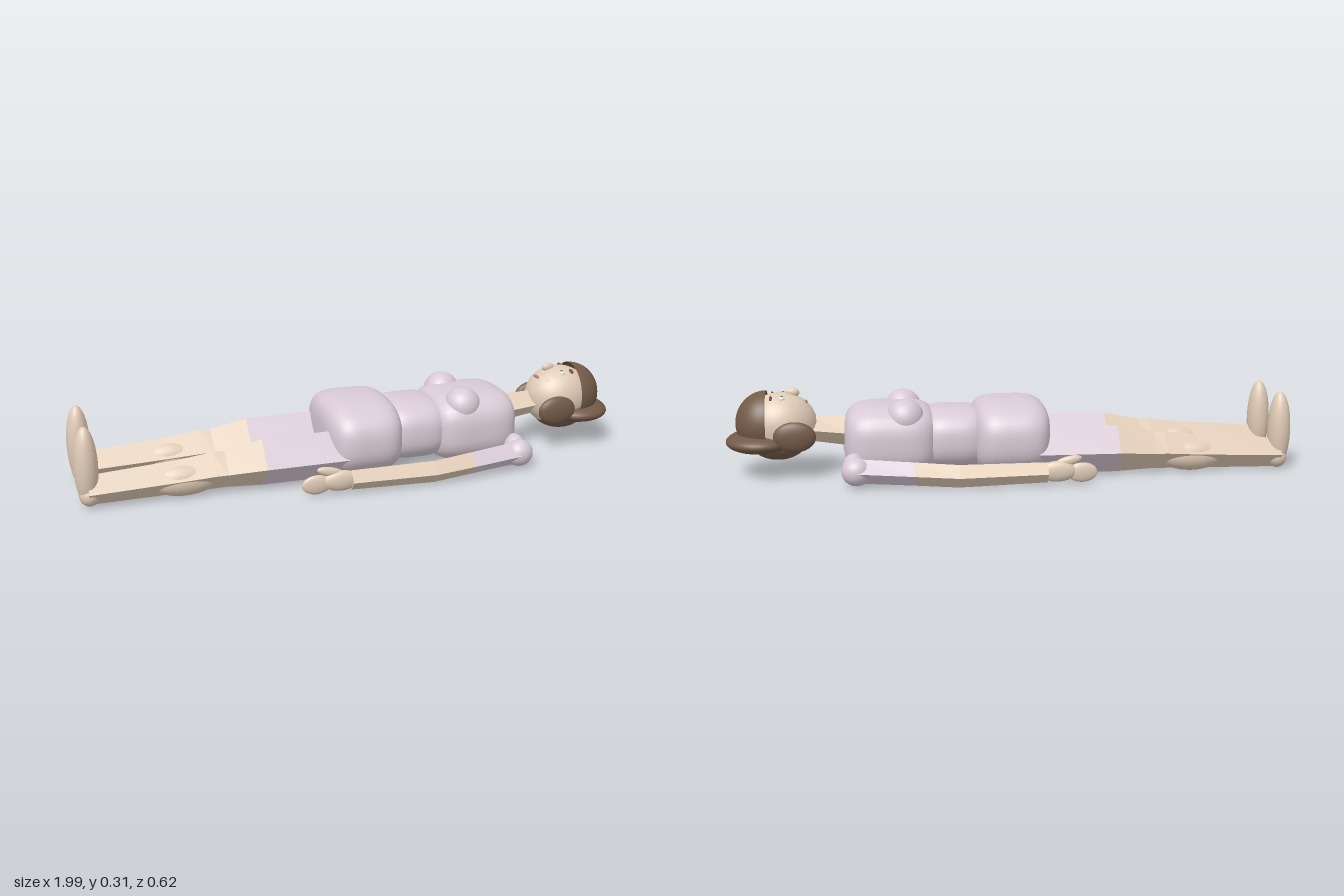
import * as THREE from 'three';

const mat = (color, flatShading = false) => new THREE.MeshStandardMaterial({ color, flatShading });

export function createModel() {
  const model = new THREE.Group();
  const skin = mat(0xe0cbb6), cloth = mat(0xd9cad5), hair = mat(0x735a48);
  const skinFlat = mat(0xe0cbb6, true), clothFlat = mat(0xd9cad5, true);
  const white = mat(0xe8e8e4), iris = mat(0x5f7a6a), lip = mat(0xb08070);

  const add = (name, geometry, material, parent = model) => {
    const mesh = new THREE.Mesh(geometry, material);
    mesh.name = name;
    parent.add(mesh);
    return mesh;
  };

  // Ellipsoid from centre and radii
  const ball = (name, c, r, material, parent, seg = 24) => {
    const mesh = add(name, new THREE.SphereGeometry(1, seg, Math.ceil(seg * 0.7)), material, parent);
    mesh.position.set(...c);
    mesh.scale.set(...r);
    return mesh;
  };

  // Cushion: a sphere pushed out toward a box, squarer along x than around it
  const cushion = (name, c, r, material, nAxis = 4, nRound = 2.7) => {
    const g = new THREE.SphereGeometry(1, 48, 36);
    g.rotateZ(-Math.PI / 2);
    const p = g.attributes.position;
    for (let i = 0; i < p.count; i++) {
      const x = p.getX(i), y = p.getY(i), z = p.getZ(i);
      const round = (Math.abs(y) ** nRound + Math.abs(z) ** nRound) ** (1 / nRound);
      const k = (Math.abs(x) ** nAxis + round ** nAxis) ** (-1 / nAxis);
      p.setXYZ(i, c[0] + x * k * r[0], c[1] + y * k * r[1], c[2] + z * k * r[2]);
    }
    g.computeVertexNormals();
    return add(name, g, material);
  };

  // Four-sided limb with its edges up, down and sideways; rows: [x, y, z, ry, rz], x falling
  const limb = (name, rows, material, parent) => {
    const pos = [], idx = [], n = rows.length;
    for (const [x, y, z, ry, rz] of rows)
      pos.push(x, y + ry, z, x, y, z + rz, x, y - ry, z, x, y, z - rz);
    for (let i = 0; i < n - 1; i++)
      for (let j = 0; j < 4; j++) {
        const a = i * 4 + j, b = i * 4 + (j + 1) % 4;
        idx.push(a, a + 4, b, b, a + 4, b + 4);
      }
    const e = (n - 1) * 4;
    idx.push(0, 1, 2, 0, 2, 3, e, e + 2, e + 1, e, e + 3, e + 2);
    const g = new THREE.BufferGeometry();
    g.setAttribute('position', new THREE.Float32BufferAttribute(pos, 3));
    g.setIndex(idx);
    g.computeVertexNormals();
    return add(name, g, material, parent);
  };

  // Torso
  cushion('hips', [0, 0.135, 0], [0.136, 0.13, 0.211], cloth);
  cushion('waist', [0.2, 0.132, 0], [0.13, 0.108, 0.153], cloth, 3.2);
  cushion('chest', [0.42, 0.13, 0], [0.162, 0.125, 0.176], cloth, 4, 3);
  limb('neck', [[0.71, 0.168, 0, 0.045, 0.05], [0.55, 0.152, 0, 0.053, 0.052]], skinFlat);

  for (const s of [1, -1]) {
    const side = s > 0 ? 'left' : 'right';
    ball(side + 'Breast', [0.372, 0.215, s * 0.1], [0.066, 0.066, 0.066], cloth, model);

    // Arm and hand
    const arm = new THREE.Group();
    arm.name = side + 'Arm';
    model.add(arm);
    ball('shoulder', [0.55, 0.06, s * 0.17], [0.04, 0.05, 0.05], cloth, arm);
    ball('shoulderCap', [0.542, 0.06, s * 0.228], [0.05, 0.048, 0.046], cloth, arm);
    limb('sleeve', [[0.55, 0.062, s * 0.226, 0.042, 0.046], [0.35, 0.054, s * 0.257, 0.04, 0.041]], clothFlat, arm);
    limb('forearm', [[0.35, 0.054, s * 0.257, 0.04, 0.041], [0.2, 0.046, s * 0.275, 0.039, 0.036],
      [-0.1, 0.05, s * 0.272, 0.035, 0.034]], skinFlat, arm);
    ball('palm', [-0.135, 0.052, s * 0.27], [0.065, 0.036, 0.02], skin, arm);
    ball('fingers', [-0.22, 0.046, s * 0.268], [0.052, 0.034, 0.013], skin, arm);
    ball('thumb', [-0.17, 0.085, s * 0.266], [0.05, 0.017, 0.012], skin, arm).rotation.z = -0.25;

    // Leg and upright foot
    const leg = new THREE.Group();
    leg.name = side + 'Leg';
    model.add(leg);
    const z = s * 0.116;
    limb('thigh', [[0, 0.092, z, 0.085, 0.085], [-0.37, 0.09, z, 0.083, 0.083]], clothFlat, leg);
    limb('lowerLeg', [[-0.37, 0.09, z, 0.083, 0.083], [-0.5, 0.081, z, 0.066, 0.065],
      [-0.54, 0.08, z, 0.066, 0.062], [-0.66, 0.072, z, 0.06, 0.056], [-0.96, 0.06, z, 0.052, 0.052]], skinFlat, leg);
    ball('calf', [-0.64, 0.062, z], [0.12, 0.057, 0.053], skin, leg);
    ball('foot', [-0.96, 0.143, z], [0.04, 0.138, 0.045], skin, leg);
    ball('heel', [-0.955, 0.045, z], [0.035, 0.039, 0.043], skin, leg);
  }

  // Head and face
  const head = new THREE.Group();
  head.name = 'head';
  model.add(head);
  ball('skull', [0.8, 0.183, 0], [0.125, 0.113, 0.106], skin, head, 32);
  ball('nose', [0.757, 0.294, 0], [0.024, 0.017, 0.012], skin, head, 12);
  ball('mouth', [0.712, 0.261, 0], [0.006, 0.006, 0.02], lip, head, 12);
  for (const s of [1, -1]) {
    ball('eye', [0.792, 0.281, s * 0.045], [0.011, 0.008, 0.015], white, head, 12);
    ball('iris', [0.792, 0.287, s * 0.045], [0.006, 0.005, 0.006], iris, head, 12);
    ball('brow', [0.83, 0.283, s * 0.045], [0.005, 0.008, 0.018], hair, head, 12);
    ball('cheek', [0.74, 0.255, s * 0.045], [0.014, 0.01, 0.014], skin, head, 12);
    ball('sideHair', [0.75, 0.157, s * 0.104], [0.073, 0.053, 0.023], hair, head);
  }

  // Hair: crown cap facing +x, back of the head and a wide flat roll
  const cap = new THREE.SphereGeometry(1, 40, 14, 0, Math.PI * 2, 0, Math.PI / 2);
  cap.rotateZ(-Math.PI / 2);
  const crown = add('crownHair', cap, hair, head);
  crown.material = hair.clone();
  crown.material.side = THREE.DoubleSide;
  crown.position.set(0.848, 0.19, 0);
  crown.scale.set(0.108, 0.113, 0.109);
  ball('backHair', [0.81, 0.125, 0], [0.1, 0.066, 0.09], hair, head);
  ball('hairRoll', [0.87, 0.127, 0], [0.122, 0.04, 0.136], hair, head, 32);

  return model;
}
